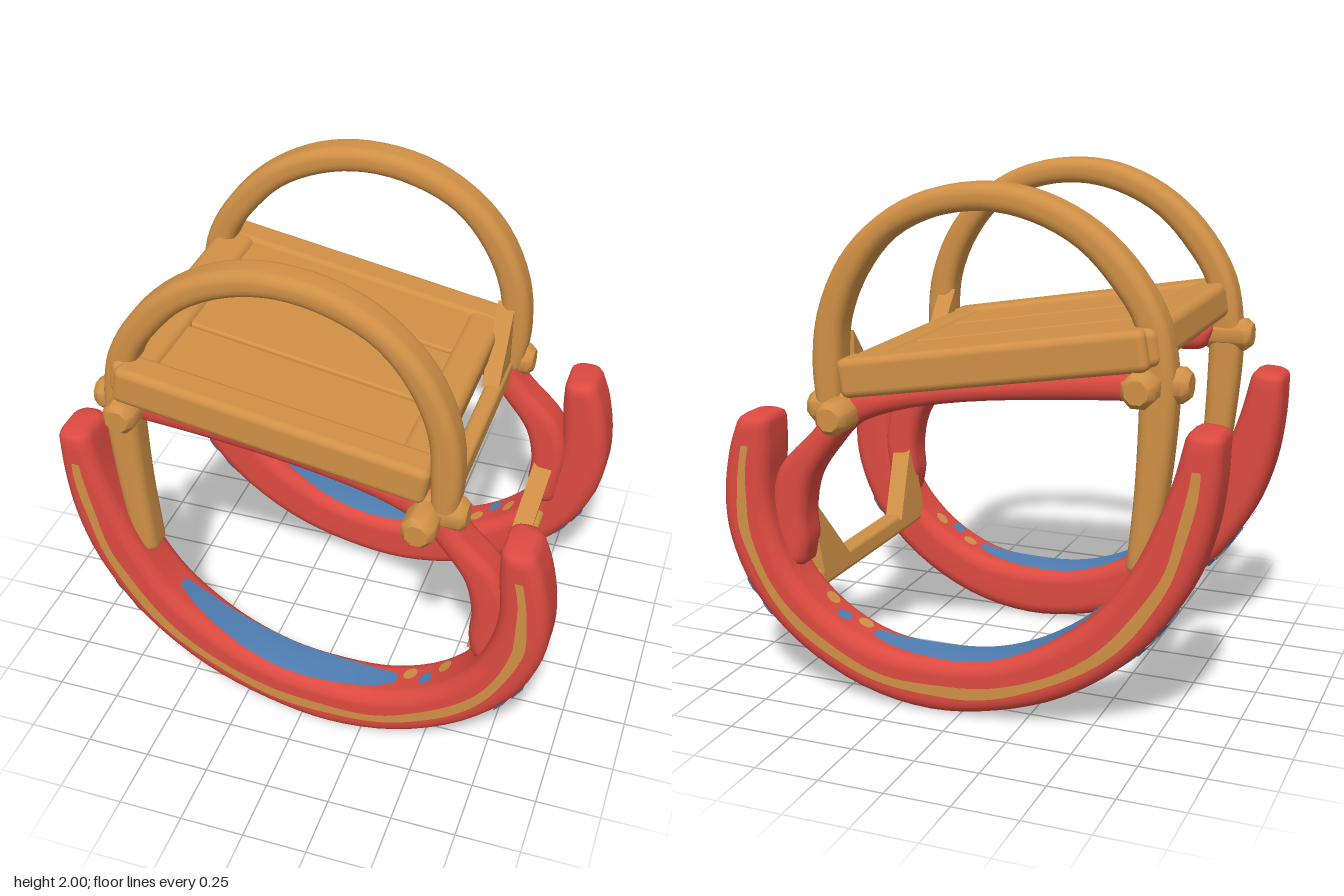
import * as THREE from 'three';
import { toCreasedNormals } from 'three/addons/utils/BufferGeometryUtils.js';
import { RoundedBoxGeometry } from 'three/addons/geometries/RoundedBoxGeometry.js';

const red = new THREE.MeshStandardMaterial({ name: 'redPaint', color: 0xdc4a40 });
const wood = new THREE.MeshStandardMaterial({ name: 'wood', color: 0xd09046, side: THREE.DoubleSide });
const blue = new THREE.MeshStandardMaterial({ name: 'bluePaint', color: 0x4f7fb3, side: THREE.DoubleSide });

// Profiles as [outer x, outer y, inner x, inner y] stations
const RUNNER = [
  [-0.97, 1.15, -0.835, 1.16], [-0.965, 1.0, -0.795, 1.0], [-0.935, 0.8, -0.73, 0.82], [-0.855, 0.58, -0.655, 0.66],
  [-0.68, 0.335, -0.53, 0.48], [-0.42, 0.14, -0.32, 0.32], [-0.15, 0.04, -0.1, 0.235], [0.12, 0.005, 0.12, 0.215],
  [0.4, 0.055, 0.34, 0.24], [0.67, 0.2, 0.54, 0.34], [0.86, 0.4, 0.69, 0.5], [0.95, 0.61, 0.76, 0.68],
  [0.965, 0.78, 0.775, 0.82], [0.935, 0.97, 0.765, 0.97], [0.9, 1.07, 0.765, 1.07]];
const ARM = [
  [-0.66, 1.37, -0.62, 1.26], [-0.4, 1.35, -0.4, 1.245], [0, 1.29, 0, 1.205], [0.3, 1.24, 0.28, 1.145],
  [0.5, 1.18, 0.45, 1.07], [0.62, 1.04, 0.55, 0.96], [0.76, 0.89, 0.63, 0.84], [0.8, 0.75, 0.658, 0.7],
  [0.79, 0.62, 0.652, 0.6], [0.78, 0.53, 0.665, 0.52]];
const HOOP = [
  [-0.72, 0.67, -0.62, 0.66], [-0.76, 0.95, -0.645, 0.95], [-0.785, 1.25, -0.655, 1.25], [-0.78, 1.38, -0.655, 1.38],
  [-0.745, 1.55, -0.635, 1.53], [-0.645, 1.72, -0.56, 1.65], [-0.49, 1.87, -0.43, 1.785], [-0.29, 1.97, -0.26, 1.87],
  [-0.09, 2, -0.08, 1.9], [0.14, 1.965, 0.11, 1.87], [0.33, 1.865, 0.28, 1.785], [0.48, 1.71, 0.4, 1.64],
  [0.575, 1.5, 0.47, 1.47], [0.6, 1.3, 0.485, 1.3], [0.585, 1.13, 0.49, 1.13]];

const toCurves = (p) => [0, 2].map((k) => new THREE.CatmullRomCurve3(
  p.map((s) => new THREE.Vector3(s[k], s[k + 1], 0))));

// Middle, outward direction and half thickness of a profile at t
function station([outer, inner], t) {
  const o = outer.getPoint(t), i = inner.getPoint(t);
  const d = o.clone().sub(i), h = d.length() / 2;
  return { mid: o.add(i).multiplyScalar(0.5), d: d.normalize(), h };
}

// Geometry from points and faces in one side's own plane
function meshData(points, index) {
  const g = new THREE.BufferGeometry();
  g.setAttribute('position', new THREE.Float32BufferAttribute(points.flatMap((p) => [p.x, p.y, p.z]), 3));
  g.setIndex(index);
  return g;
}

// Rounded rectangular bar swept along a profile, with softened ends
function loft(profile, halfW, zOff, r, n) {
  const curves = toCurves(profile), pts = [], idx = [], M = 20;
  const rings = [[0, 0.68, -0.03], [0, 0.9, -0.018]];
  for (let i = 0; i <= n; i++) rings.push([i / n, 1, 0]);
  rings.push([1, 0.9, 0.018], [1, 0.68, 0.03]);
  for (const [t, k, ext] of rings) {
    const { mid, d, h } = station(curves, t);
    const T = curves[0].getTangent(t).add(curves[1].getTangent(t)).normalize();
    const turn = Math.sign(d.y * T.x - d.x * T.y);
    mid.addScaledVector(T, ext);
    const rr = Math.min(r, h * 0.9);
    for (let j = 0; j < M; j++) {
      const q = Math.floor(j / 5), a = (q + (j % 5) / 4) * Math.PI / 2;
      const sx = q === 0 || q === 3 ? 1 : -1, sz = q < 2 ? 1 : -1;
      const u = sx * (h - rr) + rr * Math.cos(a), w = sz * (halfW - rr) + rr * Math.sin(a);
      const p = mid.clone().addScaledVector(d, u * k);
      p.z = zOff + turn * w * k;
      pts.push(p);
    }
  }
  const R = rings.length;
  for (let i = 0; i < R - 1; i++) for (let j = 0; j < M; j++) {
    const a = i * M + j, b = i * M + (j + 1) % M;
    idx.push(a, b, a + M, b, b + M, a + M);
  }
  for (let j = 1; j < M - 1; j++) {
    const e = (R - 1) * M;
    idx.push(0, j + 1, j, e, e + j, e + j + 1);
  }
  return meshData(pts, idx);
}

const runnerCurves = toCurves(RUNNER), HALF = 0.11, ROUND = 0.055;

// Point just off the runner rim (side 1 outer, -1 inner), following its rounded edge
function onRim(t, side, w, lift) {
  const { mid, d, h } = station(runnerCurves, t);
  const over = Math.max(0, Math.abs(w) - HALF + ROUND);
  const p = mid.addScaledVector(d, side * (h + lift - ROUND + Math.sqrt(ROUND * ROUND - over * over)));
  p.z = w;
  return p;
}

// Point just off the runner's outer face, m across its thickness
function onFace(t, m) {
  const { mid, d, h } = station(runnerCurves, t);
  const p = mid.addScaledVector(d, m * h);
  p.z = HALF + 0.004;
  return p;
}

// Strip built from rows of points
function ribbon(n, row) {
  const pts = [], idx = [];
  for (let i = 0; i <= n; i++) {
    const r = row(i / n), c = r.length, b = pts.length;
    pts.push(...r);
    for (let j = 1; i && j < c; j++) {
      const e = b + j;
      idx.push(e - c - 1, e - c, e - 1, e - c, e, e - 1);
    }
  }
  return meshData(pts, idx);
}

// Ellipse laid on a painted surface by a mapping rule
function blob(u, v, ru, rv, rot, map) {
  const g = new THREE.CircleGeometry(1, 12).scale(ru, rv, 1).rotateZ(rot).translate(u, v, 0);
  const P = g.attributes.position;
  for (let i = 0; i < P.count; i++) {
    const p = map(P.getX(i), P.getY(i));
    P.setXYZ(i, p.x, p.y, p.z);
  }
  return g;
}

// Outer rim parameter at a height, on the -x or +x half
function rimAt(y, end) {
  let lo = 0.5, hi = end > 0 ? 1 : 0;
  for (let k = 0; k < 24; k++) {
    const m = (lo + hi) / 2;
    if (runnerCurves[0].getPoint(m).y < y) lo = m; else hi = m;
  }
  return lo;
}

export function createModel() {
  const root = new THREE.Group();
  root.name = 'rockingSeat';
  const add = (name, geo, mat, parent = root) => {
    const m = new THREE.Mesh(geo, mat);
    m.name = name;
    parent.add(m);
    return m;
  };
  const box = (name, parent, w, h, d, x, y, z, r = 0.02) => {
    const m = add(name, new RoundedBoxGeometry(w, h, d, 3, r), wood, parent);
    m.position.set(x, y, z);
    return m;
  };

  for (const s of [1, -1]) {
    const side = new THREE.Group();
    side.name = s > 0 ? 'frontSide' : 'backSide';
    root.add(side);
    // Place on the slightly splayed side plane, mirrored for the back
    const put = (name, g, mat) => {
      const P = g.attributes.position, I = g.index.array;
      for (let i = 0; i < P.count; i++) P.setZ(i, s * (P.getZ(i) + 0.52 + 0.032 * P.getX(i)));
      if (s < 0) for (let i = 0; i < I.length; i += 3) [I[i], I[i + 1]] = [I[i + 1], I[i]];
      g.computeVertexNormals();
      return add(name, g, mat, side);
    };
    put('runner', loft(RUNNER, HALF, 0, ROUND, 56), red);
    put('supportArm', loft(ARM, 0.082, -0.045, 0.045, 36), red);
    put('hoopAndLeg', loft(HOOP, 0.068, -0.02, 0.04, 56), wood);

    // Painted wavering line on the outer face
    put('runnerStripe', ribbon(80, (k) => {
      const c = 0.08 * Math.sin(Math.PI * k) + 0.14 * Math.sin(Math.PI * Math.min(1, 2 * k)) + 0.025 * Math.sin(k * 47);
      const w = 0.2 + 0.03 * Math.sin(k * 31);
      return [c - w, c + w].map((m) => onFace(0.045 + 0.895 * k, m));
    }), wood);
    // Painted patch and flecks on the inner rim
    put('innerRimPatch', ribbon(28, (k) => {
      const w = 0.078 * Math.sqrt(Math.sin(Math.PI * (0.03 + 0.94 * k)));
      return [-1, -0.6, 0, 0.6, 1].map((v) => onRim(0.285 + 0.3 * k, -1, v * w, 0.005));
    }), blue);
    const inner = (u, v) => onRim(v, -1, u, 0.006);
    [0.602, 0.628, 0.655].forEach((t, i) =>
      put('rimFleck', blob(i % 2 ? 0.02 : -0.02, t, 0.03, 0.01, 0, inner), i === 1 ? blue : wood));

    // Flowers on the outer rim at both ends
    for (const end of [1, -1]) {
      const rim = (lift) => (u, v) => onRim(rimAt(v + (end < 0 ? 0.04 : 0), end), 1, u, lift);
      for (const [u, v, a, b, r] of [
        [0, 0.45, 0.03, 0.048, 0], [0.048, 0.405, 0.032, 0.046, -0.9], [-0.048, 0.405, 0.032, 0.046, 0.9],
        [0.045, 0.33, 0.028, 0.046, 1.2], [-0.045, 0.33, 0.028, 0.046, -1.2], [0, 0.53, 0.022, 0.022, 0],
        [0, 0.375, 0.045, 0.045, 0], [0.005, 0.275, 0.02, 0.045, 0], [-0.012, 0.215, 0.018, 0.048, 0]])
        put('flowerPetal', blob(u, v, a, b, r, rim(0.006)), blue);
      put('flowerCentre', blob(0, 0.345, 0.028, 0.036, 0, rim(0.0095)), wood);
    }

    // Chamfered octagonal pegs
    const peg = (len) => toCreasedNormals(new THREE.LatheGeometry(
      [[0, 0], [0.045, 0], [0.066, 0.025], [0.066, len - 0.025], [0.045, len], [0, len]]
        .map(([x, y]) => new THREE.Vector2(x, y)), 8).rotateY(Math.PI / 8), 0.8);
    for (const [x, y, z] of [[0.475, 1.13, 0.69], [-0.68, 1.325, 0.64]]) {
      const p = add('crossPeg', peg(0.22), wood, side);
      p.rotation.x = s * Math.PI / 2;
      p.position.set(x, y, s * (z - 0.22));
    }
    for (const [x, y, z, dir] of [[0.625, 1.14, 0.525, 1], [-0.83, 1.325, 0.465, -1]]) {
      const p = add('lengthPeg', peg(0.2), wood, side);
      p.rotation.z = -dir * Math.PI / 2;
      p.position.set(x - dir * 0.2, y, s * z);
    }
  }

  // Sloping seat: frame and three slats
  const seat = new THREE.Group();
  seat.name = 'seat';
  seat.position.set(-0.1, 1.36, 0);
  seat.rotation.z = -0.171;
  root.add(seat);
  for (const s of [1, -1]) box('seatSideRail', seat, 1.2, 0.15, 0.14, -0.01, 0, s * 0.533, 0.03).rotation.y = s * 0.01;
  box('seatRearRail', seat, 0.16, 0.14, 1.14, -0.56, 0.002, 0, 0.035);
  box('seatFrontRail', seat, 0.14, 0.14, 1.02, 0.52, 0, 0, 0.035);
  for (const k of [-1, 0, 1]) box('seatSlat', seat, 1.02, 0.05, 0.349, 0, 0.03, k * 0.362, 0.012);

  // Cross bars with triangular corner braces
  const brace = (parent, z0, z1, h, x, y, depth, s) => {
    const shape = new THREE.Shape([[z0, 0], [z1, 0], [z0, h]].map(([z, v]) => new THREE.Vector2(-s * z, v)));
    const g = new THREE.ExtrudeGeometry(shape, { depth, bevelEnabled: false }).rotateY(Math.PI / 2);
    add('cornerBrace', g, wood, parent).position.set(x, y, 0);
  };
  const upper = new THREE.Group(), lower = new THREE.Group();
  upper.name = 'upperCrossBar';
  lower.name = 'lowerCrossBar';
  root.add(upper, lower);
  box('upperBar', upper, 0.07, 0.085, 1.0, 0.515, 1.12, 0);
  lower.position.set(0.685, 0.41, 0);
  lower.rotation.z = -0.17;
  box('lowerBar', lower, 0.095, 0.08, 0.94, 0, 0, 0);
  for (const s of [1, -1]) {
    brace(upper, 0.47, 0.25, 0.27, 0.47, 1.155, 0.07, s);
    brace(lower, 0.46, 0.235, 0.32, -0.058, 0.02, 0.08, s);
  }
  return root;
}
